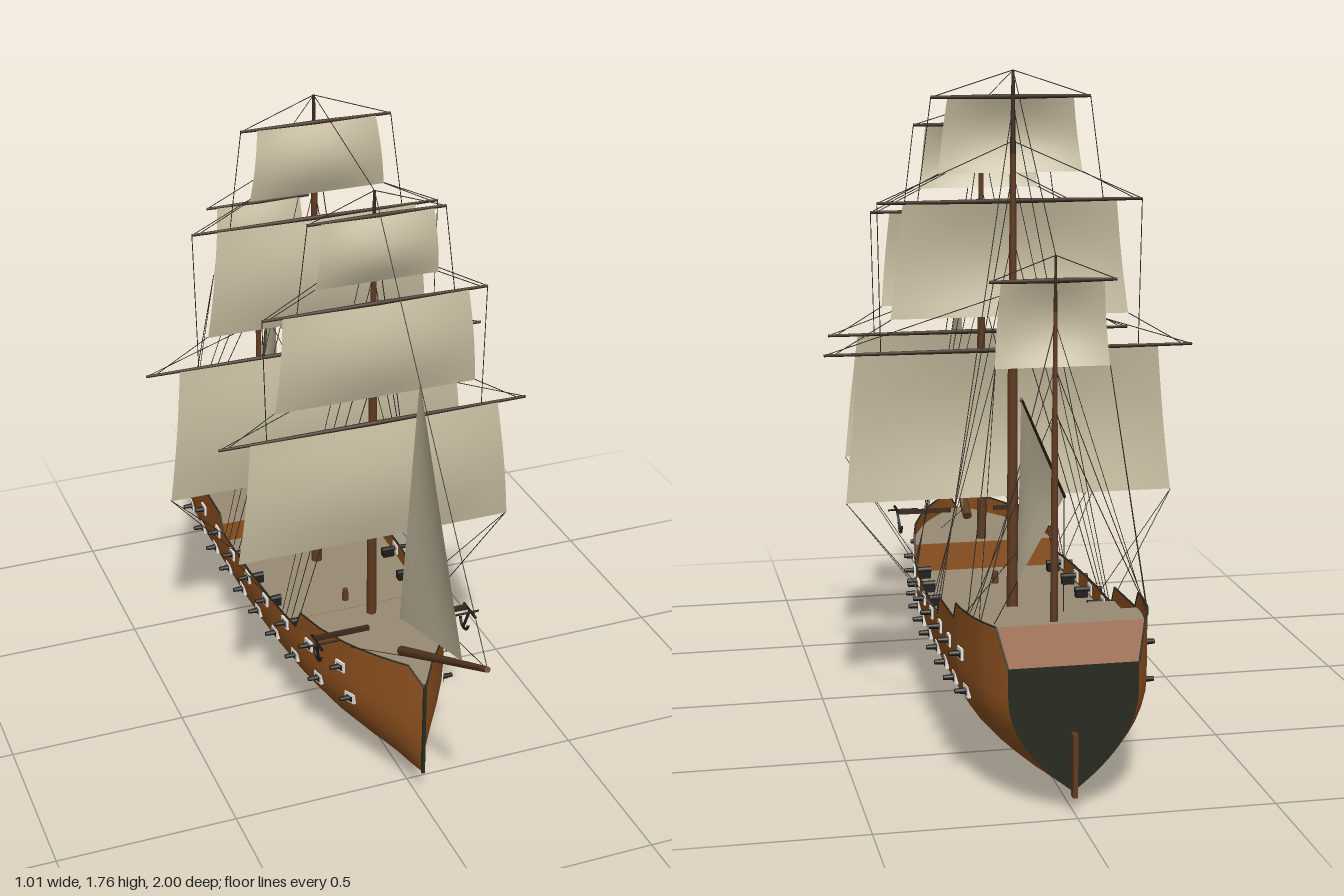
import * as THREE from 'three';

const mat = (name, color, double) => {
  const m = new THREE.MeshStandardMaterial({ color });
  m.name = name;
  if (double) m.side = THREE.DoubleSide;
  return m;
};
const V = (x, y, z) => new THREE.Vector3(x, y, z);

// Piecewise tables along z (bow to stern)
const lerpTable = (t, z) => {
  if (z >= t[0][0]) return t[0][1];
  for (let i = 1; i < t.length; i++) {
    const [z0, a] = t[i - 1], [z1, b] = t[i];
    if (z >= z1) return a + (b - a) * (z0 - z) / (z0 - z1);
  }
  return t[t.length - 1][1];
};
const BEAM = [[0.612, 0.003], [0.58, 0.035], [0.54, 0.065], [0.5, 0.092], [0.45, 0.122], [0.4, 0.147], [0.3, 0.183],
  [0.2, 0.203], [0.1, 0.216], [0, 0.225], [-0.15, 0.233], [-0.3, 0.236], [-0.6, 0.237], [-0.7, 0.235], [-0.8, 0.222],
  [-0.87, 0.203], [-0.915, 0.185], [-0.95, 0.162]];
const KEEL = [[0.612, 0.1], [0.5, 0.066], [0.4, 0.045], [0.3, 0.03], [0.1, 0.01], [-0.1, 0], [-0.3, 0.001],
  [-0.5, 0.008], [-0.7, 0.02], [-0.85, 0.035], [-0.95, 0.05]];
const SHEER = [[0.612, 0.38], [0.58, 0.437], [0.2, 0.412], [0.172, 0.352], [-0.39, 0.35], [-0.42, 0.402], [-0.63, 0.41],
  [-0.66, 0.455], [-0.915, 0.465], [-0.95, 0.37]];
const beam = z => lerpTable(BEAM, z), keel = z => lerpTable(KEEL, z), sheer = z => lerpTable(SHEER, z);
// Half width of the hull at height y: curved bottom, straight sides
const halfWidth = (y, z) => {
  const u = Math.min(1, Math.max(0, (y - keel(z)) / (0.3 - keel(z))));
  return beam(z) * (1 - Math.pow(1 - u, 2.1));
};

export function createModel() {
  const root = new THREE.Group();
  root.name = 'sailingShip';
  const hullMat = mat('hull brown', 0x8f5220, true), deckMat = mat('deck tan', 0x988b73, true);
  const sailMat = mat('sail canvas', 0xc6bb9f, true), mastMat = mat('mast wood', 0x5e3a20);
  const yardMat = mat('yard dark wood', 0x3a281a), ropeMat = mat('rope', 0x2c2822);
  const darkMat = mat('transom black green', 0x27291f, true), gunMat = mat('gun iron', 0x1d1d1b);
  const portMat = mat('port white', 0xe6e4de);

  const add = (name, geo, m, parent = root) => {
    const mesh = new THREE.Mesh(geo, m);
    mesh.name = name;
    parent.add(mesh);
    return mesh;
  };
  const box = (name, w, h, d, x, y, z, m, parent) => {
    const b = add(name, new THREE.BoxGeometry(w, h, d), m, parent);
    b.position.set(x, y, z);
    return b;
  };
  // Tapered round bar from a to b
  const rod = (name, a, b, ra, rb, m, sides = 10, parent = root) => {
    const d = b.clone().sub(a);
    const r = add(name, new THREE.CylinderGeometry(rb, ra, d.length(), sides), m, parent);
    r.position.copy(a).addScaledVector(d, 0.5);
    r.quaternion.setFromUnitVectors(V(0, 1, 0), d.normalize());
    return r;
  };
  const rigging = new THREE.Group();
  rigging.name = 'rigging';
  root.add(rigging);
  const rope = (a, b) => rod('rope', a, b, 0.0012, 0.0012, ropeMat, 4, rigging);
  // Grid surface from a point function over u, v in 0..1
  const surface = (name, nu, nv, fn, m) => {
    const pos = [], idx = [];
    for (let j = 0; j <= nv; j++) for (let i = 0; i <= nu; i++) pos.push(...fn(i / nu, j / nv).toArray());
    for (let j = 0; j < nv; j++) for (let i = 0; i < nu; i++) {
      const a = j * (nu + 1) + i, c = a + nu + 1;
      idx.push(a, a + 1, c, a + 1, c + 1, c);
    }
    const g = new THREE.BufferGeometry();
    g.setAttribute('position', new THREE.Float32BufferAttribute(pos, 3));
    g.setIndex(idx);
    g.computeVertexNormals();
    return add(name, g, m);
  };

  // Hull shell lofted through every station
  const stations = [...new Set([...BEAM, ...KEEL, ...SHEER].map(p => p[0]))].sort((a, b) => b - a);
  const LOW = 10, UP = 3, N = LOW + UP;
  const section = (z, k) => {            // k: -N (left rail) .. 0 (keel) .. N (right rail)
    const n = Math.abs(k), kl = keel(z);
    const y = n <= LOW ? kl + (0.3 - kl) * Math.pow(n / LOW, 1.3) : 0.3 + (sheer(z) - 0.3) * (n - LOW) / UP;
    return V(-Math.sign(k) * halfWidth(y, z), y, z);
  };
  surface('hull', 2 * N, stations.length - 1,
    (u, v) => section(stations[Math.round(v * (stations.length - 1))], Math.round(u * 2 * N) - N), hullMat);

  // Transom, sloping stern rail, stem and rudder
  const outline = [];
  for (let k = -N; k <= N; k++) { const p = section(-0.95, k); outline.push(new THREE.Vector2(p.x, p.y)); }
  add('transom', new THREE.ShapeGeometry(new THREE.Shape(outline)), darkMat).position.z = -0.95;
  surface('taffrail', 1, 1, (u, v) => {
    const z = v ? -0.915 : -0.95;
    return V((1 - 2 * u) * beam(z), sheer(z), z);
  }, hullMat);
  box('stem', 0.009, 0.28, 0.008, 0, 0.24, 0.612, darkMat);
  box('rudder', 0.012, 0.16, 0.024, 0, 0.122, -0.963, mastMat);

  // Decks and the bulkheads between them
  const deck = (name, y, z0, z1) => {
    const zs = [z0, ...BEAM.map(p => p[0]).filter(z => z < z0 && z > z1), z1];
    const pts = [...zs.map(z => [beam(z), z]), ...zs.reverse().map(z => [-beam(z), z])];
    const g = new THREE.ShapeGeometry(new THREE.Shape(pts.map(([x, z]) => new THREE.Vector2(x * 0.995, -z))));
    add(name, g.rotateX(-Math.PI / 2), deckMat).position.y = y;
  };
  deck('foredeck', 0.385, 0.605, 0.185);
  deck('mainDeck', 0.305, 0.185, -0.42);
  deck('quarterDeck', 0.365, -0.42, -0.655);
  deck('poopDeck', 0.415, -0.655, -0.93);
  [[0.185, 0.305, 0.385], [-0.42, 0.305, 0.365], [-0.655, 0.365, 0.415]].forEach(([z, a, b]) =>
    box('bulkhead', 2 * beam(z) - 0.004, b - a, 0.006, 0, (a + b) / 2 - 0.001, z, hullMat));
  rod('capstan', V(0, 0.305, 0.02), V(0, 0.34, 0.02), 0.01, 0.008, mastMat);

  for (const s of [1, -1]) {
    // Rail cap along the sheer
    for (let i = 1; i < SHEER.length; i++) {
      const zs = [SHEER[i - 1][0], ...BEAM.map(p => p[0]).filter(z => z < SHEER[i - 1][0] && z > SHEER[i][0]), SHEER[i][0]];
      for (let j = 1; j < zs.length; j++) {
        const p = z => V(s * beam(z), sheer(z), z);
        rod('railCap', p(zs[j - 1]), p(zs[j]), 0.0025, 0.0025, darkMat, 5);
      }
    }
    // Two rows of guns with white port frames
    const gun = (y, z, inner) => {
      const x = halfWidth(y, z), slope = (beam(z + 0.02) - beam(z - 0.02)) / 0.04;
      const port = new THREE.Group();
      port.name = 'gunPort';
      port.position.set(s * x, y, z);
      port.rotation.y = Math.atan2(s, -slope);
      root.add(port);
      box('portFrame', 0.036, 0.03, 0.009, 0, 0, 0.001, portMat, port);
      box('portOpening', 0.021, 0.017, 0.009, 0, -0.002, 0.002, gunMat, port);
      rod('gunBarrel', V(s * (x - inner), y, z), V(s * (x + 0.032), y, z), 0.009, 0.006, gunMat);
      if (inner > 0.03) box('gunCarriage', 0.034, 0.02, 0.024, s * (x - 0.026), y - 0.014, z, gunMat);
    };
    for (let i = 0; i < 9; i++) {
      const z = 0.385 - i * 0.1375;
      gun(0.326 + 0.016 * Math.pow((z + 0.165) / 0.55, 2), z, z < 0.17 && z > -0.4 ? 0.045 : 0.01);
    }
    for (let i = 0; i < 10; i++) gun(0.248 + (i === 0 || i === 9 ? 0.006 : 0), 0.415 - i * 0.129, 0.01);

    // Cathead and anchor
    box('cathead', 0.16, 0.012, 0.012, s * 0.145, 0.437, 0.37, yardMat);
    rod('anchorShank', V(s * 0.225, 0.44, 0.395), V(s * 0.215, 0.375, 0.375), 0.004, 0.004, gunMat, 6);
    rod('anchorStock', V(s * 0.225, 0.44, 0.355), V(s * 0.225, 0.44, 0.435), 0.004, 0.004, gunMat, 6);
    rod('anchorLashing', V(s * 0.16, 0.437, 0.4), V(s * 0.25, 0.437, 0.4), 0.003, 0.003, gunMat, 6);
    const arms = add('anchorArms', new THREE.TorusGeometry(0.026, 0.004, 6, 12, Math.PI), gunMat);
    arms.position.set(s * 0.217, 0.4, 0.378);
    arms.rotation.set(0, Math.PI / 2, Math.PI, 'YXZ');
  }

  // Masts in three tapering lengths; yards are [height, half length, sail top, sail foot, foot height]
  const masts = [
    { name: 'foremast', z: 0.225, base: 0.385, top: 1.65, r: 0.014, rail: [0.17, 0.135, 0.105, 0.08],
      yards: [[0.995, 0.44, 0.355, 0.395, 0.64], [1.345, 0.315, 0.26, 0.285, 1.075], [1.59, 0.19, 0.155, 0.17, 1.41]] },
    { name: 'mainmast', z: -0.22, base: 0.305, top: 1.76, r: 0.016, rail: [-0.27, -0.31, -0.35, -0.385],
      yards: [[1.015, 0.505, 0.41, 0.45, 0.61], [1.415, 0.36, 0.29, 0.325, 1.105], [1.69, 0.215, 0.17, 0.195, 1.49]] },
    { name: 'mizzenmast', z: -0.73, base: 0.415, top: 1.335, r: 0.01, rail: [-0.77, -0.8, -0.84],
      yards: [[1.27, 0.16, 0.13, 0.145, 1.055]] },
  ];
  for (const { name, z, base, top, r, rail, yards } of masts) {
    const h = t => base + (top - base) * t;
    rod(name + 'Lower', V(0, base - 0.01, z), V(0, h(0.55), z), r, r * 0.8, mastMat, 12);
    rod(name + 'Middle', V(0, h(0.55), z), V(0, h(0.85), z), r * 0.7, r * 0.5, mastMat);
    rod(name + 'Top', V(0, h(0.85), z), V(0, top, z), r * 0.5, r * 0.25, yardMat);
    const zy = z + 0.022;
    yards.forEach(([y, half, wTop, wFoot, foot], i) => {
      for (const s of [1, -1]) {
        rod('yard', V(0, y, zy), V(s * half, y, zy), 0.007, 0.004, yardMat, 8);
        rope(V(s * half, y, zy), V(0, Math.min(top, y + 0.16), z));
        // Sheet from each sail corner to the yard or rail below
        const corner = V(s * wFoot, foot, zy);
        if (i) rope(corner, V(s * yards[i - 1][1] * 0.95, yards[i - 1][0], zy));
        else for (const k of [0, rail.length - 1]) rope(corner, V(s * beam(rail[k]), sheer(rail[k]), rail[k]));
        if (i) rope(V(s * half, y, zy), V(s * yards[i - 1][1] * 0.7, yards[i - 1][0], zy));
      }
      // Billowing square sail
      surface('squareSail', 12, 10, (u, v) => V((2 * u - 1) * (wTop + (wFoot - wTop) * v), y + (foot - y) * v,
        zy + 0.004 + 0.03 * Math.sin(Math.PI * v) * (0.4 + 0.6 * Math.sin(Math.PI * u))), sailMat);
    });
    // Shrouds and backstays
    for (const s of [1, -1]) rail.forEach((rz, i) =>
      rope(V(0, h(0.58 + 0.12 * i), z), V(s * beam(rz) * 0.98, sheer(rz), rz)));
  }

  // Bowsprit and long stays
  const tip = V(0, 0.68, 0.995);
  rod('bowsprit', V(0, 0.395, 0.45), tip, 0.014, 0.008, mastMat);
  rope(tip, V(0, 1.65, 0.225));
  rope(V(0, 1.65, 0.225), V(0, 1.76, -0.22));
  rope(V(0, 1.76, -0.22), V(0, 1.335, -0.73));
  for (const s of [1, -1]) rope(tip, V(s * beam(0.42), 0.42, 0.42));

  // Three-cornered sails: head a, corners b and c, bulging by the vector d
  const triSail = (name, a, b, c, d) => surface(name, 8, 8, (u, v) => a.clone()
    .addScaledVector(b.clone().sub(a), v * (1 - u)).addScaledVector(c.clone().sub(a), v * u)
    .addScaledVector(d, 6 * v * (1 - v) * 4 * u * (1 - u) * v), sailMat);
  triSail('jib', V(0, 1.26, 0.54), V(0, 0.61, 0.845), V(0.03, 0.44, 0.36), V(0.02, 0, 0));
  rope(V(0.03, 0.44, 0.36), V(0.1, 0.39, 0.34));

  const peak = V(0.135, 1.03, -0.965), tack = V(-0.075, 0.68, -0.515), clew = V(0.15, 0.6, -0.998);
  triSail('lateenSail', peak, tack, clew, V(0.012, 0, 0.005));
  rod('lateenYard', tack, peak, 0.005, 0.004, yardMat, 8);
  rope(tack, V(-0.075, 0.365, -0.515));
  rope(tack, V(0.2, 0.37, -0.52));
  rope(clew, V(0.18, 0.46, -0.87));
  return root;
}
